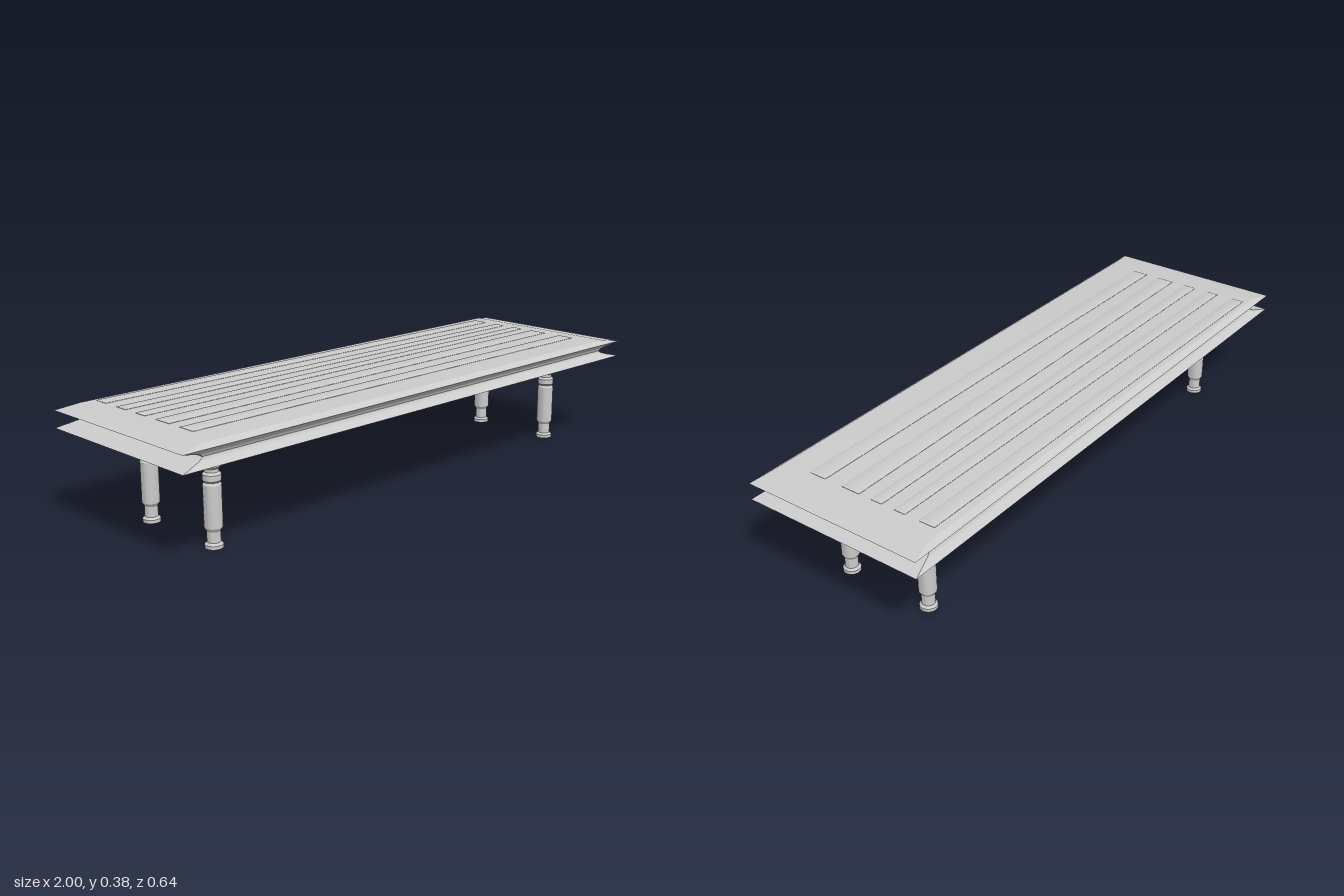
import * as THREE from 'three';
import { toCreasedNormals } from 'three/addons/utils/BufferGeometryUtils.js';

const material = new THREE.MeshStandardMaterial({ color: 0xcccccc });

// Solid through stacked four-cornered rings, bottom to top; each corner is [x, y, z],
// listed back-left, front-left, front-right, back-right.
function loft(rings) {
  const pos = rings.flat(2), index = [];
  for (let r = 0; r < rings.length - 1; r++) {
    for (let i = 0; i < 4; i++) {
      const a = r * 4 + i, b = r * 4 + (i + 1) % 4;
      index.push(a, b, b + 4, a, b + 4, a + 4);
    }
  }
  const t = (rings.length - 1) * 4;
  index.push(0, 2, 1, 0, 3, 2, t, t + 1, t + 2, t, t + 2, t + 3);
  const g = new THREE.BufferGeometry();
  g.setAttribute('position', new THREE.Float32BufferAttribute(pos, 3));
  g.setIndex(index);
  return toCreasedNormals(g, 0.5);
}

const rect = (hx, hz, y) => [[-hx, y, -hz], [-hx, y, hz], [hx, y, hz], [hx, y, -hz]];

function add(parent, name, geometry) {
  const mesh = new THREE.Mesh(geometry, material);
  mesh.name = name;
  parent.add(mesh);
  return mesh;
}

export function createModel() {
  const model = new THREE.Group();
  model.name = 'lowTable';

  // Table top and apron sit very slightly turned over the legs
  const top = new THREE.Group();
  top.name = 'top';
  top.rotation.y = -0.008;
  model.add(top);

  // Tapered apron under the top
  add(top, 'apron', loft([rect(0.837, 0.206, 0.265), rect(0.86, 0.233, 0.306)]));

  // Slab with a hollow moulded edge and a bevelled upper rim
  const slab = [];
  const steps = 10;
  for (let i = 0; i <= steps; i++) {
    const t = i / steps;
    const inset = Math.pow(Math.sin(Math.PI * t), 1.2);
    slab.push(rect(0.997 - 0.085 * inset, 0.314 - 0.026 * inset, 0.305 + 0.055 * t));
  }
  slab.push(rect(0.917, 0.294, 0.373));
  add(top, 'slab', loft(slab));

  // Thin raised boards, slightly fanned: [back, front] z at the left and right ends
  const boards = [
    [-0.285, -0.237, -0.26, -0.205],
    [-0.18, -0.135, -0.155, -0.115],
    [-0.085, -0.04, -0.07, -0.03],
    [0.012, 0.075, 0.015, 0.08],
    [0.125, 0.185, 0.145, 0.205],
  ];
  for (const [b0, f0, b1, f1] of boards) {
    const ring = (y, d) => [
      [-0.87 + d, y, b0 + d], [-0.87 + d, y, f0 - d],
      [0.865 - d, y, f1 - d], [0.865 - d, y, b1 + d],
    ];
    add(model, 'board', loft([ring(0.37, 0), ring(0.374, 0), ring(0.3765, 0.006)]));
  }

  // Turned legs
  const profile = [
    [0, 0], [0.028, 0], [0.028, 0.011], [0.021, 0.018], [0.021, 0.052],
    [0.028, 0.063], [0.028, 0.193], [0.024, 0.199], [0.024, 0.201],
    [0.028, 0.206], [0.028, 0.224], [0.021, 0.231], [0.021, 0.241],
    [0.028, 0.248], [0.028, 0.268], [0, 0.268],
  ].map(([r, y]) => new THREE.Vector2(r, y));
  const legGeometry = toCreasedNormals(new THREE.LatheGeometry(profile, 20), 0.5);
  for (const x of [-0.783, 0.79]) {
    for (const z of [-0.155, 0.149]) {
      add(model, 'leg', legGeometry).position.set(x, 0, z);
    }
  }

  return model;
}
